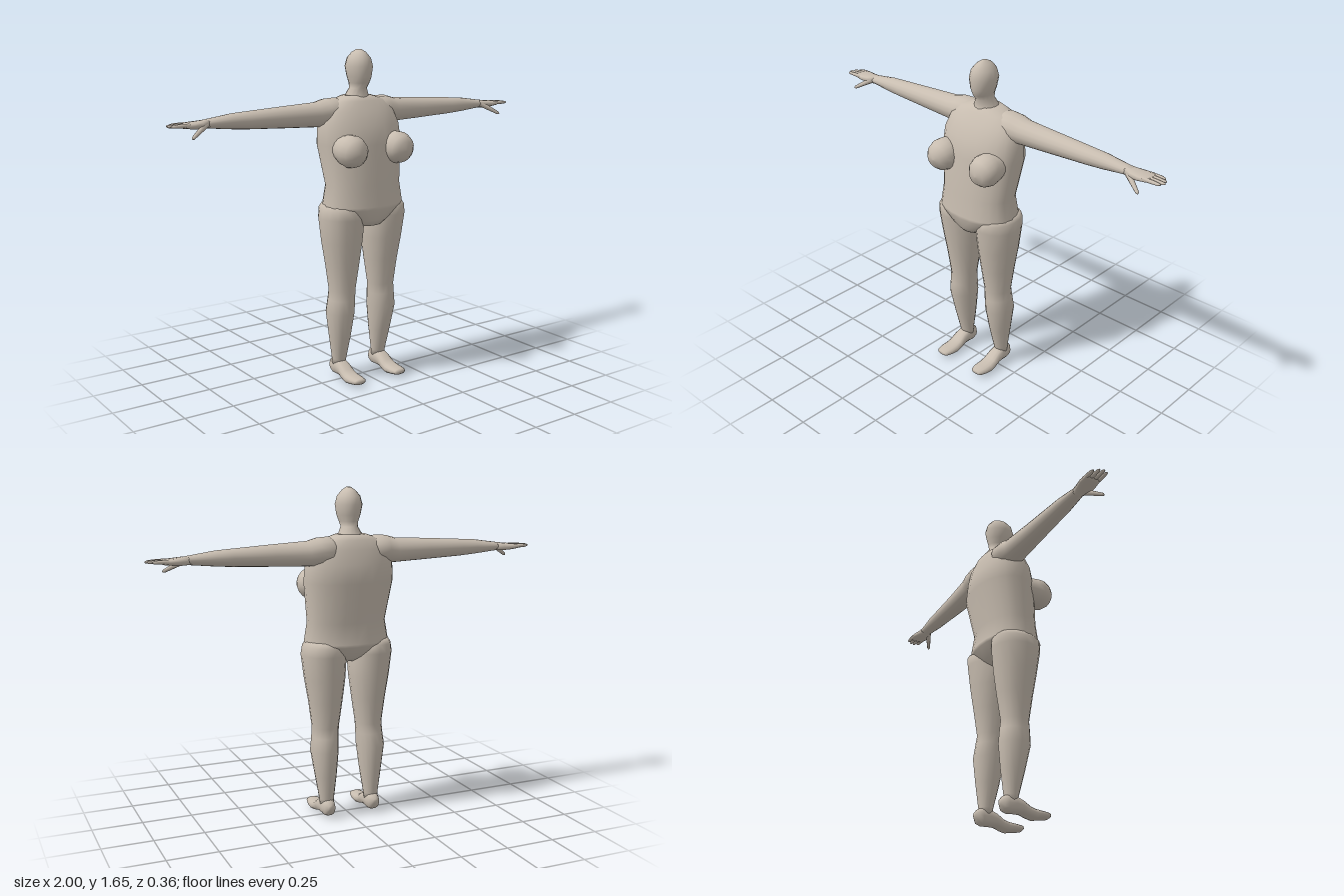
import * as THREE from 'three';

const skin = new THREE.MeshStandardMaterial({ color: 0xc8bdb0 });
skin.name = 'warm clay';

// Closed loft of elliptical rings along an axis.
// ring: [position on axis, min u, max u, min v, max v]
// u,v are z,x for axis y; y,z for axis x; x,y for axis z.
function loft(rings, axis, sides = 16, power = 1) {
  const pos = [], index = [];
  const put = (a, u, v) => {
    if (axis === 'x') pos.push(a, u, v);
    else if (axis === 'y') pos.push(v, a, u);
    else pos.push(u, v, a);
  };
  const round = (t) => Math.sign(t) * Math.pow(Math.abs(t), power);
  for (const [a, u0, u1, v0, v1] of rings) {
    for (let i = 0; i < sides; i++) {
      const t = (i / sides) * Math.PI * 2;
      put(a, (u0 + u1) / 2 + round(Math.cos(t)) * (u1 - u0) / 2,
        (v0 + v1) / 2 + round(Math.sin(t)) * (v1 - v0) / 2);
    }
  }
  for (let r = 0; r < rings.length - 1; r++) {
    for (let i = 0; i < sides; i++) {
      const j = (i + 1) % sides;
      const a = r * sides + i, b = r * sides + j;
      index.push(a, b, b + sides, a, b + sides, a + sides);
    }
  }
  // end caps
  const last = (rings.length - 1) * sides, c = rings.length * sides;
  for (const [a, u0, u1, v0, v1] of [rings[0], rings[rings.length - 1]]) {
    put(a, (u0 + u1) / 2, (v0 + v1) / 2);
  }
  for (let i = 0; i < sides; i++) {
    const j = (i + 1) % sides;
    index.push(c, j, i, c + 1, last + i, last + j);
  }
  const g = new THREE.BufferGeometry();
  g.setAttribute('position', new THREE.Float32BufferAttribute(pos, 3));
  g.setIndex(index);
  g.computeVertexNormals();
  return g;
}

// Mirrored copy across x = 0, with the corner order turned round
function mirrored(geometry) {
  const g = geometry.clone();
  g.scale(-1, 1, 1);
  const ix = g.index.array;
  for (let i = 0; i < ix.length; i += 3) [ix[i + 1], ix[i + 2]] = [ix[i + 2], ix[i + 1]];
  g.computeVertexNormals();
  return g;
}

export function createModel() {
  const model = new THREE.Group();
  model.name = 'figure';
  const add = (name, geometry) => {
    const mesh = new THREE.Mesh(geometry, skin);
    mesh.name = name;
    model.add(mesh);
  };
  const addPair = (name, geometry) => {
    add(name + 'Left', geometry);
    add(name + 'Right', mirrored(geometry));
  };

  // Torso, from crotch to shoulders
  add('torso', loft([
    [0.80, -0.05, 0.10, -0.07, 0.07],
    [0.83, -0.10, 0.122, -0.12, 0.12],
    [0.885, -0.14, 0.14, -0.212, 0.212],
    [0.90, -0.145, 0.14, -0.216, 0.216],
    [1.00, -0.13, 0.128, -0.20, 0.20],
    [1.20, -0.177, 0.115, -0.226, 0.226],
    [1.29, -0.167, 0.093, -0.222, 0.222],
    [1.36, -0.152, 0.055, -0.20, 0.20],
    [1.405, -0.135, 0.025, -0.15, 0.15],
    [1.43, -0.115, 0.005, -0.075, 0.075],
  ], 'y', 24, 0.9));

  // Neck and head
  add('head', loft([
    [1.38, -0.135, 0.03, -0.085, 0.085],
    [1.42, -0.118, 0.012, -0.062, 0.062],
    [1.465, -0.09, 0.01, -0.04, 0.04],
    [1.49, -0.092, 0.03, -0.045, 0.045],
    [1.52, -0.10, 0.04, -0.056, 0.056],
    [1.57, -0.11, 0.045, -0.065, 0.065],
    [1.61, -0.10, 0.036, -0.054, 0.054],
    [1.638, -0.075, 0.012, -0.03, 0.03],
    [1.652, -0.045, -0.015, -0.009, 0.009],
  ], 'y', 16));

  // Breasts, tilted slightly down
  const breast = new THREE.LatheGeometry([
    [0.06, -0.07], [0.076, 0], [0.079, 0.035], [0.067, 0.07], [0.042, 0.096], [0, 0.101],
  ].map(([r, y]) => new THREE.Vector2(r, y)), 18);
  breast.rotateX(Math.PI / 2 + 0.12);
  breast.translate(0.137, 1.181, 0.078);
  addPair('breast', breast);

  // Arms
  addPair('arm', loft([
    [0.05, 1.33, 1.40, -0.10, -0.02],
    [0.12, 1.29, 1.422, -0.145, 0.015],
    [0.18, 1.284, 1.419, -0.142, 0.01],
    [0.23, 1.284, 1.405, -0.135, 0.0],
    [0.40, 1.291, 1.396, -0.123, -0.012],
    [0.60, 1.30, 1.384, -0.115, -0.024],
    [0.68, 1.306, 1.379, -0.112, -0.027],
    [0.80, 1.318, 1.362, -0.102, -0.04],
    [0.83, 1.322, 1.358, -0.10, -0.042],
  ], 'x', 16));

  // Palm
  addPair('palm', loft([
    [0.80, 1.319, 1.36, -0.10, -0.042],
    [0.84, 1.317, 1.357, -0.108, -0.03],
    [0.88, 1.32, 1.353, -0.118, -0.027],
    [0.92, 1.325, 1.35, -0.116, -0.032],
    [0.932, 1.33, 1.347, -0.112, -0.036],
  ], 'x', 12, 0.8));

  // Fingers
  [[-0.105, 0.975], [-0.084, 0.993], [-0.063, 1.0], [-0.042, 0.99]].forEach(([z, tip], i) => {
    addPair('finger' + (i + 1), loft([
      [0.90, 1.33, 1.35, z - 0.011, z + 0.011],
      [0.95, 1.331, 1.349, z - 0.01, z + 0.01],
      [tip - 0.008, 1.333, 1.346, z - 0.008, z + 0.008],
      [tip, 1.336, 1.343, z - 0.004, z + 0.004],
    ], 'x', 8));
  });

  // Thumbs, reaching forward and down
  const thumb = loft([
    [0, -0.015, 0.015, -0.015, 0.015],
    [0.06, -0.011, 0.011, -0.011, 0.011],
    [0.105, -0.008, 0.008, -0.008, 0.008],
    [0.113, -0.003, 0.003, -0.003, 0.003],
  ], 'x', 8);
  thumb.applyQuaternion(new THREE.Quaternion().setFromUnitVectors(
    new THREE.Vector3(1, 0, 0), new THREE.Vector3(0.088, -0.052, 0.046).normalize()));
  thumb.translate(0.82, 1.337, -0.05);
  addPair('thumb', thumb);

  // Legs
  addPair('leg', loft([
    [0.07, -0.07, -0.005, 0.087, 0.157],
    [0.10, -0.07, 0.0, 0.084, 0.16],
    [0.22, -0.085, 0.031, 0.068, 0.178],
    [0.35, -0.097, 0.06, 0.055, 0.197],
    [0.42, -0.088, 0.06, 0.053, 0.189],
    [0.47, -0.08, 0.057, 0.05, 0.186],
    [0.60, -0.10, 0.077, 0.032, 0.202],
    [0.72, -0.117, 0.097, 0.017, 0.222],
    [0.84, -0.13, 0.115, 0.01, 0.236],
    [0.885, -0.135, 0.118, 0.03, 0.226],
    [0.91, -0.11, 0.09, 0.07, 0.212],
  ], 'y', 16));

  // Feet
  addPair('foot', loft([
    [-0.095, 0.11, 0.135, 0.05, 0.075],
    [-0.08, 0.092, 0.152, 0.02, 0.092],
    [-0.06, 0.086, 0.158, 0.013, 0.10],
    [-0.02, 0.086, 0.16, 0.016, 0.098],
    [0.015, 0.085, 0.162, 0.016, 0.085],
    [0.05, 0.083, 0.165, 0.006, 0.06],
    [0.08, 0.081, 0.167, 0.0, 0.05],
    [0.12, 0.082, 0.166, 0.007, 0.046],
    [0.155, 0.09, 0.157, 0.013, 0.043],
    [0.163, 0.10, 0.147, 0.02, 0.037],
  ], 'z', 14, 0.85));

  return model;
}
